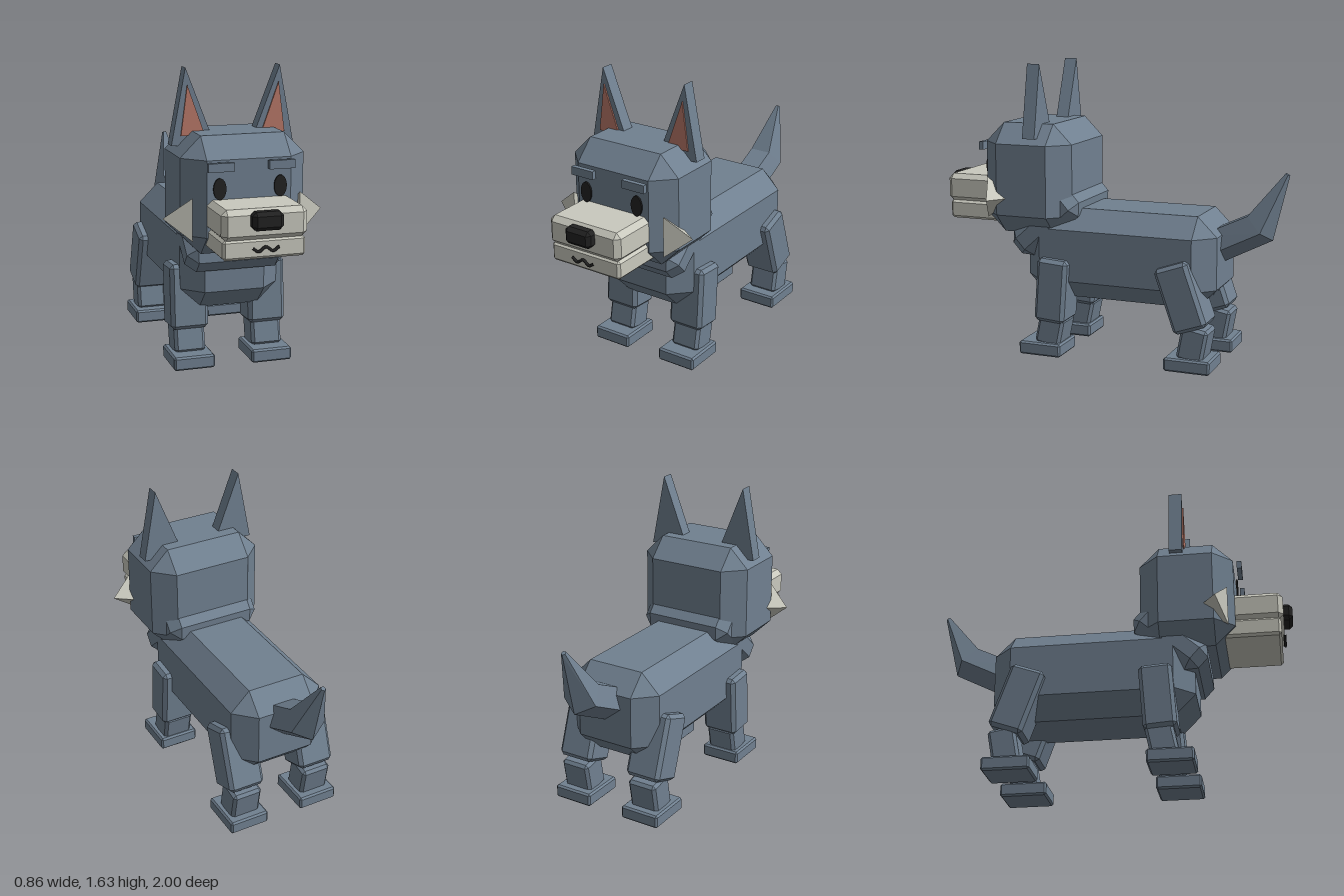
import * as THREE from 'three';
import { ConvexGeometry } from 'three/addons/geometries/ConvexGeometry.js';

const V = (x, y, z) => new THREE.Vector3(x, y, z);

function makeMaterial(name, color) {
  const m = new THREE.MeshStandardMaterial({ color });
  m.name = name;
  return m;
}

// Box with all edges cut at 45 degrees by c
function chamferBox(w, h, d, c) {
  const pts = [];
  for (const sx of [-1, 1]) for (const sy of [-1, 1]) for (const sz of [-1, 1]) {
    const x = w / 2, y = h / 2, z = d / 2;
    pts.push(V(sx * x, sy * (y - c), sz * (z - c)));
    pts.push(V(sx * (x - c), sy * y, sz * (z - c)));
    pts.push(V(sx * (x - c), sy * (y - c), sz * z));
  }
  return new ConvexGeometry(pts);
}

// Triangular plate in the xy plane, from z0 to z1
function trianglePlate(corners, z0, z1) {
  return new ConvexGeometry(corners.flatMap(([x, y]) => [V(x, y, z0), V(x, y, z1)]));
}

export function createModel() {
  const group = new THREE.Group();
  const fur = makeMaterial('slate fur', 0x708090);
  const cream = makeMaterial('cream fur', 0xc9c9be);
  const pink = makeMaterial('inner ear pink', 0xb87868);
  const black = makeMaterial('black', 0x222222);

  function add(name, geometry, material, x = 0, y = 0, z = 0, tilt = 0) {
    const mesh = new THREE.Mesh(geometry, material);
    mesh.name = name;
    mesh.position.set(x, y, z);
    mesh.rotation.x = tilt;
    group.add(mesh);
    return mesh;
  }

  // Torso, neck and head
  add('body', chamferBox(0.55, 0.51, 1.11, 0.11), fur, 0, 0.575, -0.095);
  add('neck', chamferBox(0.55, 0.19, 0.47, 0.055), fur, 0, 0.742, 0.333, 0.73);
  add('head', chamferBox(0.67, 0.62, 0.52, 0.11), fur, 0, 0.99, 0.43);

  // Muzzle, nose and mouth
  add('upperMuzzle', chamferBox(0.45, 0.16, 0.4, 0.028), cream, 0, 0.907, 0.75);
  add('lowerMuzzle', chamferBox(0.435, 0.105, 0.4, 0.014), cream, 0, 0.782, 0.735);
  add('nose', chamferBox(0.162, 0.095, 0.075, 0.02), black, 0, 0.932, 0.9625);
  const mouthPath = new THREE.CatmullRomCurve3([
    V(-0.07, 0.793, 0.95), V(-0.038, 0.773, 0.95), V(0, 0.795, 0.95),
    V(0.038, 0.773, 0.95), V(0.07, 0.793, 0.95),
  ]);
  add('mouth', new THREE.TubeGeometry(mouthPath, 24, 0.008, 6), black);

  // Paired parts
  for (const s of [-1, 1]) {
    const side = s > 0 ? 'left' : 'right';

    const eye = new THREE.CylinderGeometry(1, 1, 0.009, 24);
    eye.rotateX(Math.PI / 2);
    eye.scale(0.034, 0.056, 1);
    add(side + 'Eye', eye, black, s * 0.162, 1.045, 0.706);
    add(side + 'Brow', new THREE.BoxGeometry(0.138, 0.045, 0.026), fur, s * 0.162, 1.16, 0.724);

    add(side + 'Cheek', new ConvexGeometry([
      V(s * 0.29, 0.995, 0.655), V(s * 0.29, 0.768, 0.655),
      V(s * 0.29, 0.885, 0.495), V(s * 0.432, 0.885, 0.595),
    ]), cream);

    add(side + 'Ear', trianglePlate(
      [[s * 0.335, 1.225], [s * 0.258, 1.63], [s * 0.1, 1.225]], 0.345, 0.418), fur);
    add(side + 'InnerEar', trianglePlate(
      [[s * 0.285, 1.277], [s * 0.25, 1.54], [s * 0.156, 1.277]], 0.418, 0.426), pink);

    // Legs: thigh, shin and paw
    const x = s * 0.22;
    add(side + 'FrontUpperLeg', chamferBox(0.21, 0.36, 0.18, 0.02), fur, x, 0.375, 0.267, -0.07);
    add(side + 'FrontLowerLeg', chamferBox(0.172, 0.17, 0.15, 0.016), fur, x, 0.14, 0.283, -0.2);
    add(side + 'FrontPaw', chamferBox(0.23, 0.075, 0.25, 0.01), fur, x, 0.0375, 0.33);
    add(side + 'HindUpperLeg', chamferBox(0.21, 0.37, 0.195, 0.02), fur, x, 0.405, -0.49, 0.34);
    add(side + 'HindLowerLeg', chamferBox(0.172, 0.19, 0.15, 0.016), fur, x, 0.15, -0.555, -0.18);
    add(side + 'HindPaw', chamferBox(0.23, 0.075, 0.26, 0.01), fur, x, 0.0375, -0.535);
  }

  // Tail: five-sided sections from flat top edge [z, y] to bottom point [z, y]
  const section = (top, bottom, halfWidth) =>
    [[0.62, 0], [1, 0.618], [0, 1]].flatMap(([w, t]) => [-1, 1].map((k) => V(
      k * w * halfWidth,
      THREE.MathUtils.lerp(top[1], bottom[1], t),
      THREE.MathUtils.lerp(top[0], bottom[0], t))));
  const tail = [
    section([-0.52, 0.705], [-0.6, 0.535], 0.1),
    section([-0.785, 0.83], [-0.915, 0.695], 0.1),
    section([-0.977, 1.067], [-1, 1.055], 0.013),
  ];
  add('tailBase', new ConvexGeometry([...tail[0], ...tail[1]]), fur);
  add('tailTip', new ConvexGeometry([...tail[1], ...tail[2]]), fur);

  return group;
}
